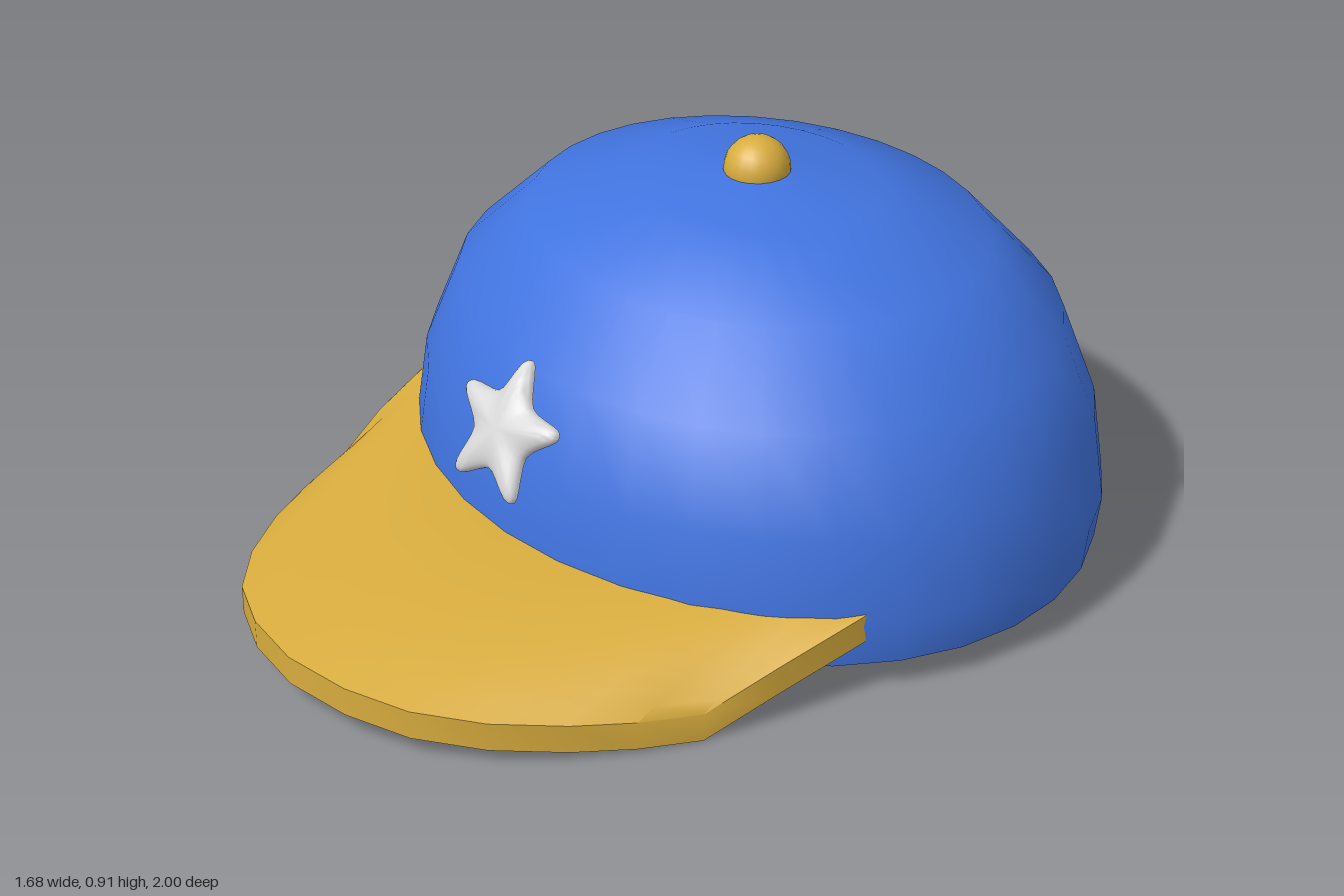
import * as THREE from 'three';
import { toCreasedNormals } from 'three/addons/utils/BufferGeometryUtils.js';

// Skin closed loops of points into a solid, with a fan at each end.
function loft(loops, crease) {
  const n = loops[0].length, pos = [], idx = [];
  loops.forEach(loop => loop.forEach(p => pos.push(p.x, p.y, p.z)));
  for (let i = 0; i < loops.length - 1; i++) {
    for (let j = 0; j < n; j++) {
      const k = (j + 1) % n;
      const a = i * n + j, b = i * n + k, c = (i + 1) * n + k, d = (i + 1) * n + j;
      idx.push(a, b, c, a, c, d);
    }
  }
  [0, loops.length - 1].forEach((i, end) => {
    const mid = new THREE.Vector3();
    loops[i].forEach(p => mid.addScaledVector(p, 1 / n));
    const m = pos.length / 3;
    pos.push(mid.x, mid.y, mid.z);
    for (let j = 0; j < n; j++) {
      const a = i * n + j, b = i * n + (j + 1) % n;
      idx.push(m, end ? a : b, end ? b : a);
    }
  });
  const g = new THREE.BufferGeometry();
  g.setAttribute('position', new THREE.Float32BufferAttribute(pos, 3));
  g.setIndex(idx);
  return toCreasedNormals(g, crease);
}

const CROWN = { rx: 0.84, rz: 0.72, z: -0.28 };

// Outline of one half of the brim: x, z, height of the top edge
const BRIM_EDGE = [
  [0, 1, 0.125], [0.16, 0.975, 0.121], [0.30, 0.915, 0.112], [0.42, 0.81, 0.099],
  [0.52, 0.68, 0.088], [0.59, 0.56, 0.079], [0.645, 0.43, 0.07],
  [0.69, 0.27, 0.135], [0.73, 0.07, 0.195],
];

function brimGeometry() {
  const thick = 0.065, rows = 8;
  const edge = [
    ...BRIM_EDGE.slice(1).reverse().map(([x, z, y]) => [-x, z, y]),
    ...BRIM_EDGE,
  ];
  const loops = edge.map(([x, z, y]) => {
    // inner end tucks just inside the crown
    const zIn = CROWN.z + CROWN.rz * Math.sqrt(1 - (x / CROWN.rx) ** 2) - 0.03;
    const top = [];
    for (let j = 0; j <= rows; j++) {
      const t = j / rows;
      const bulge = 0.06 * t * (1 - t) * Math.min(1, (z - zIn) / 0.5);
      top.push(new THREE.Vector3(x, THREE.MathUtils.lerp(0.2, y, t) + bulge, THREE.MathUtils.lerp(zIn, z, t)));
    }
    const bottom = top.map(p => new THREE.Vector3(p.x, p.y - thick, p.z)).reverse();
    return [...top, ...bottom];
  });
  return loft(loops, 0.7);
}

function starGeometry() {
  const corners = [];
  const add = (r, deg) => {
    const a = THREE.MathUtils.degToRad(deg);
    corners.push(new THREE.Vector3(r * Math.cos(a), r * Math.sin(a), 0));
  };
  for (let i = 0; i < 5; i++) {
    const a = 90 + i * 72;
    add(0.152, a - 5);
    add(0.152, a + 5);
    add(0.088, a + 36);
  }
  const outline = new THREE.CatmullRomCurve3(corners, true, 'catmullrom', 0.4).getPoints(60).slice(0, -1);
  const ring = (s, z) => outline.map(p => new THREE.Vector3(p.x * s, p.y * s, z));
  const loops = [ring(1, 0)];
  for (const s of [1, 0.97, 0.9, 0.78, 0.6, 0.4, 0.2]) {
    loops.push(ring(s, 0.006 + 0.032 * Math.sqrt(1 - s * s)));
  }
  return loft(loops, 0.9);
}

export function createModel() {
  const blue = new THREE.MeshStandardMaterial({ name: 'blue cloth', color: 0x4174e0 });
  const gold = new THREE.MeshStandardMaterial({ name: 'gold trim', color: 0xd8ac3e });
  const silver = new THREE.MeshStandardMaterial({ name: 'silver', color: 0xd8d8d8 });

  const cap = new THREE.Group();
  cap.name = 'cap';
  const add = (name, geometry, material, parent = cap) => {
    const mesh = new THREE.Mesh(geometry, material);
    mesh.name = name;
    parent.add(mesh);
    return mesh;
  };

  // Crown: oval dome closed underneath
  const crown = new THREE.Group();
  crown.name = 'crown';
  crown.position.z = CROWN.z;
  crown.scale.z = CROWN.rz / CROWN.rx;
  cap.add(crown);
  const profile = [
    [0.828, 0.07], [0.84, 0.17], [0.81, 0.36], [0.725, 0.56],
    [0.55, 0.725], [0.29, 0.82], [0, 0.845],
  ].map(([r, y]) => new THREE.Vector2(r, y));
  add('dome', new THREE.LatheGeometry(profile, 32), blue, crown);
  const base = add('crownBase', new THREE.CircleGeometry(0.828, 32), blue, crown);
  base.rotation.x = Math.PI / 2;
  base.position.y = 0.07;

  // Button on top
  const button = add('button', new THREE.SphereGeometry(0.074, 20, 14), gold);
  button.position.set(0, 0.842, -0.275);

  add('brim', brimGeometry(), gold);

  // Puffy star leaning back along the crown
  const star = add('star', starGeometry(), silver);
  star.position.set(0, 0.446, 0.424);
  star.rotation.x = -0.48;

  return cap;
}
